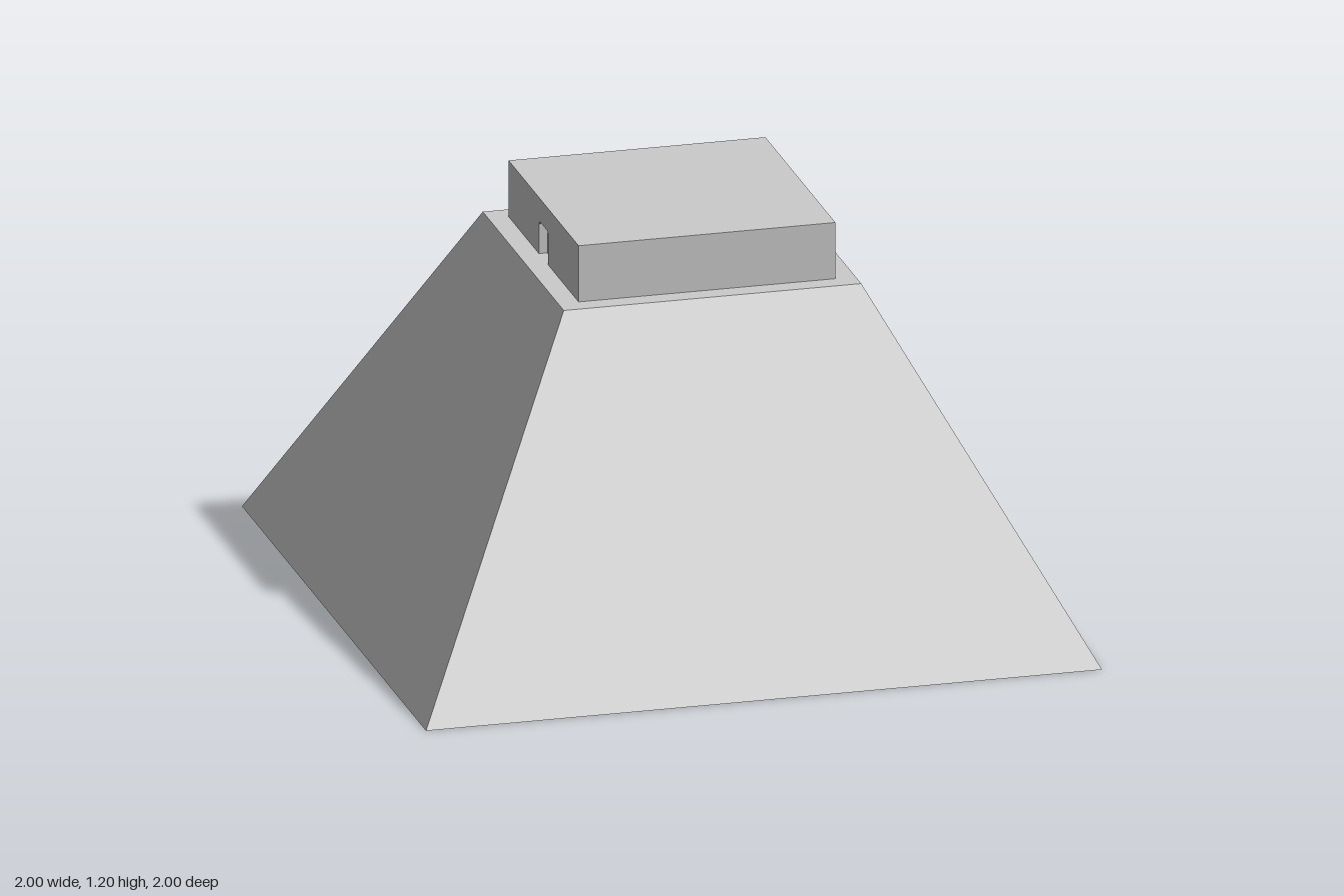
import * as THREE from 'three';

const BASE_H = 1.03, TOP_H = 1.2, HALF = 0.38, TOP_HALF = 0.44;
const DOOR_HALF = 0.05, DOOR_TOP = 1.13, BEVEL = 0.01, DEPTH = 0.025;

const material = new THREE.MeshStandardMaterial({ color: 0xcccccc, flatShading: true, side: THREE.DoubleSide });

// Doorway outline, from the foot of one jamb over the lintel to the other
const doorway = [
  [-DOOR_HALF, BASE_H], [-DOOR_HALF, DOOR_TOP - BEVEL], [-DOOR_HALF + BEVEL, DOOR_TOP],
  [DOOR_HALF - BEVEL, DOOR_TOP], [DOOR_HALF, DOOR_TOP - BEVEL], [DOOR_HALF, BASE_H],
].map(([x, y]) => new THREE.Vector2(x, y));

function addMesh(parent, name, geometry) {
  const mesh = new THREE.Mesh(geometry, material);
  mesh.name = name;
  parent.add(mesh);
  return mesh;
}

// Jambs and lintel: the outline swept inward from the wall
function revealGeometry() {
  const positions = [], index = [];
  doorway.forEach((p, i) => {
    positions.push(p.x, p.y, 0, p.x, p.y, -DEPTH);
    if (i > 0) {
      const a = 2 * (i - 1);
      index.push(a, a + 1, a + 2, a + 1, a + 3, a + 2);
    }
  });
  const geometry = new THREE.BufferGeometry();
  geometry.setAttribute('position', new THREE.Float32BufferAttribute(positions, 3));
  geometry.setIndex(index);
  geometry.computeVertexNormals();
  return geometry;
}

// Wall facing +z with a shallow doorway recess
function doorWall(name) {
  const wall = new THREE.Group();
  wall.name = name;
  const outline = new THREE.Shape([
    new THREE.Vector2(HALF, BASE_H), new THREE.Vector2(HALF, TOP_H),
    new THREE.Vector2(-HALF, TOP_H), new THREE.Vector2(-HALF, BASE_H), ...doorway,
  ]);
  addMesh(wall, 'wallFace', new THREE.ShapeGeometry(outline)).position.z = HALF;
  addMesh(wall, 'doorReveal', revealGeometry()).position.z = HALF;
  addMesh(wall, 'doorPanel', new THREE.ShapeGeometry(new THREE.Shape(doorway))).position.z = HALF - DEPTH;
  return wall;
}

export function createModel() {
  const model = new THREE.Group();
  model.name = 'pyramidTemple';

  // Sloping square base
  const base = new THREE.CylinderGeometry(TOP_HALF * Math.SQRT2, Math.SQRT2, BASE_H, 4, 1, false, Math.PI / 4);
  addMesh(model, 'pyramidBase', base).position.y = BASE_H / 2;

  // Block on top: doorways left and right, plain front and back
  const temple = new THREE.Group();
  temple.name = 'temple';
  model.add(temple);
  for (const side of [1, -1]) {
    const wall = doorWall(side > 0 ? 'leftDoorWall' : 'rightDoorWall');
    wall.rotation.y = side * Math.PI / 2;
    temple.add(wall);

    const plain = addMesh(temple, side > 0 ? 'frontWall' : 'backWall',
      new THREE.PlaneGeometry(2 * HALF, TOP_H - BASE_H));
    plain.position.set(0, (TOP_H + BASE_H) / 2, side * HALF);
    if (side < 0) plain.rotation.y = Math.PI;
  }

  // Flat roof
  const roof = new THREE.PlaneGeometry(2 * HALF, 2 * HALF).rotateX(-Math.PI / 2);
  addMesh(temple, 'roof', roof).position.y = TOP_H;

  return model;
}
